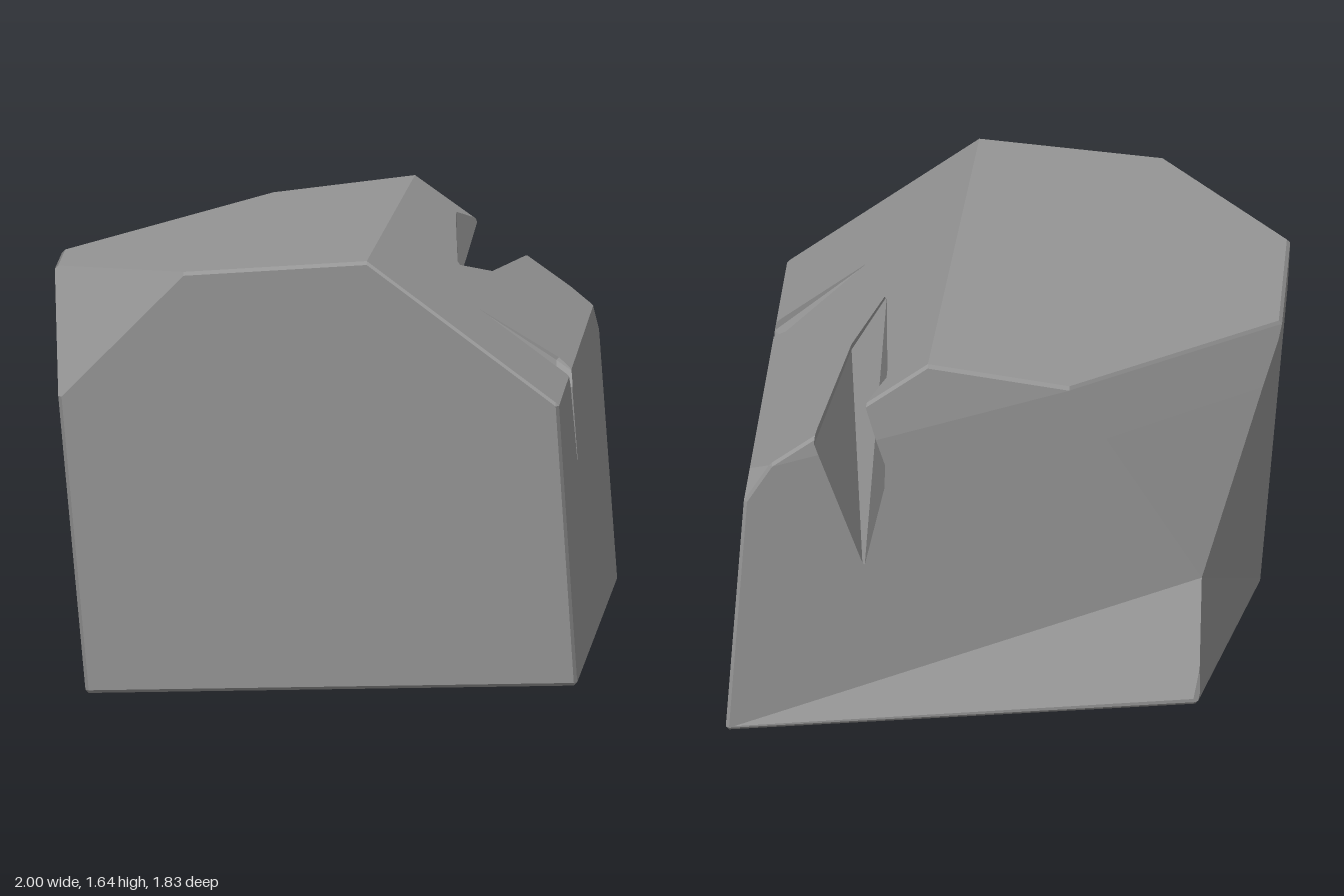
import * as THREE from 'three';
import { ConvexGeometry } from 'three/addons/geometries/ConvexGeometry.js';

const vec = p => new THREE.Vector3(...p);

// Convex hull of points as a list of triangles, slivers dropped
function hull(points) {
  const pos = new ConvexGeometry(points).attributes.position;
  const polys = [];
  for (let i = 0; i < pos.count; i += 3) {
    const t = [0, 1, 2].map(k => new THREE.Vector3().fromBufferAttribute(pos, i + k));
    if (new THREE.Triangle(...t).getArea() > 1e-8) polys.push(t);
  }
  return polys;
}

const planesOf = polys => polys.map(p => new THREE.Plane().setFromCoplanarPoints(p[0], p[1], p[2]));

// Split a convex polygon by a plane into its outer and inner parts
function split(poly, plane) {
  const eps = 1e-5;
  const dist = poly.map(p => plane.distanceToPoint(p));
  if (dist.every(d => d < eps)) return [null, poly];
  if (dist.every(d => d > -eps)) return [poly, null];
  const outer = [], inner = [];
  poly.forEach((a, i) => {
    const j = (i + 1) % poly.length, da = dist[i], db = dist[j];
    if (da > -eps) outer.push(a);
    if (da < eps) inner.push(a);
    if ((da > eps && db < -eps) || (da < -eps && db > eps)) {
      const m = a.clone().lerp(poly[j], da / (da - db));
      outer.push(m);
      inner.push(m);
    }
  });
  return [outer, inner];
}

// Part of a polygon inside all planes; pieces cut away go to the list
function clip(poly, planes, removed = []) {
  let rest = poly;
  for (const plane of planes) {
    const [outer, inner] = split(rest, plane);
    if (outer) removed.push(outer);
    if (!inner) return null;
    rest = inner;
  }
  return rest;
}

// Parts of the polygons outside a convex solid
function outside(polys, planes) {
  return polys.flatMap(poly => {
    const pieces = [];
    return clip(poly, planes, pieces) ? pieces : [poly];
  });
}

// Carve convex cutters, one after another, out of a convex solid
function carve(body, cutters) {
  const bodyPlanes = planesOf(body), done = [];
  let skin = body;
  for (const cutter of cutters) {
    const planes = planesOf(cutter);
    let walls = cutter.map(w => clip(w, bodyPlanes)).filter(Boolean);
    for (const earlier of done) walls = outside(walls, earlier);
    skin = [...outside(skin, planes), ...walls.map(w => w.slice().reverse())];
    done.push(planes);
  }
  return skin;
}

// Fan-triangulate; nearly parallel faces share one area-weighted normal
function toGeometry(polys) {
  const tris = [];
  for (const p of polys)
    for (let i = 1; i < p.length - 1; i++) {
      const t = new THREE.Triangle(p[0], p[i], p[i + 1]);
      const area = t.getArea();
      if (area > 1e-9) tris.push({ t, area, n: t.getNormal(new THREE.Vector3()) });
    }
  const limit = Math.cos(THREE.MathUtils.degToRad(26));
  const points = [], normals = [];
  for (const { t, n } of tris) {
    const sum = new THREE.Vector3();
    for (const o of tris) if (o.n.dot(n) > limit) sum.addScaledVector(o.n, o.area);
    sum.normalize();
    points.push(t.a, t.b, t.c);
    for (let k = 0; k < 3; k++) normals.push(sum.x, sum.y, sum.z);
  }
  const geo = new THREE.BufferGeometry().setFromPoints(points);
  geo.setAttribute('normal', new THREE.Float32BufferAttribute(normals, 3));
  return geo;
}

export function createModel() {
  const group = new THREE.Group();
  group.name = 'rock';

  // Main corners of the boulder
  const base = [[0.875, 0.105, 0.89], [-0.875, 0.014, 0.6], [-0.69, 0.26, -0.86], [0.985, 0.14, -0.87]];
  const corners = [
    ...base,
    [0.81, 1.12, 0.9], [0.13, 1.63, 0.87], [-0.53, 1.58, 0.83], [-0.97, 1.12, 0.75],       // front rim
    [-0.99, 1.505, 0.34], [-0.975, 1.455, -0.21],                                          // left rim
    [-0.24, 1.53, -0.905], [0.27, 1.6, -0.88],                                             // back rim
    [0.83, 1.195, -0.875], [0.92, 1.05, -0.87], [0.9, 1.15, -0.81],                        // back right corner
  ];

  // A tiny diamond at each corner gives the hull its narrow bevels
  const r = 0.012, points = [];
  for (const c of corners)
    for (const axis of ['x', 'y', 'z'])
      for (const s of [-r, r]) {
        const p = vec(c);
        p[axis] += s;
        points.push(p);
      }

  // Three dents that meet at one sunken point in the back left corner
  const sunken = [-0.71, 0.66, -0.67], foot = [-0.705, 0.26, -0.88];
  const backRim = [-0.25, 1.54, -0.925], leftRim = [-0.99, 1.46, -0.225];

  const cutters = [
    [...base, [0, -0.5, 0]],                                              // fold across the underside
    [sunken, foot, backRim, leftRim, [-0.9, 1.1, -0.9]],                  // corner chamfer
    [sunken, foot, backRim, [0.99, 0.14, -0.885], [0.1, 0.7, -1.3]],      // back dent
    [sunken, foot, leftRim, [-0.89, 0.02, 0.61], [-1.4, 0.7, 0]],         // left dent
    [                                                                     // long crack from the back
      [0.44, 1.445, -0.01], [0.56, 1.36, -0.27], [0.56, 1.55, -0.27],
      [0.42, 1.48, -0.7], [0.42, 1.65, -0.7],
      [0.5, 0.77, -0.95], [0.425, 1.1, -0.95], [0.61, 1.65, -0.95],
      [0.69, 1.28, -0.95], [0.69, 1.5, -0.95],
    ],
    [                                                                     // chip in the right shoulder
      [0.52, 1.375, 0.39], [0.8, 1.16, 0.25], [0.92, 1.28, 0.25], [0.85, 1.1, 0.4],
      [0.95, 1.2, 0.4], [0.8, 1.07, 0.34], [0.95, 1.07, 0.34],
    ],
    [                                                                     // chip running down the side
      [0.8, 1.07, 0.34], [0.85, 1.12, 0.4], [0.95, 1.12, 0.4], [0.865, 0.77, 0.33],
      [0.93, 1.0, 0.41], [0.95, 1.1, 0.32], [0.93, 0.95, 0.34],
    ],
  ].map(c => hull(c.map(vec)));

  const rock = new THREE.Mesh(
    toGeometry(carve(hull(points), cutters)),
    new THREE.MeshStandardMaterial({ color: 0x959595 })
  );
  rock.name = 'boulder';
  group.add(rock);
  return group;
}
